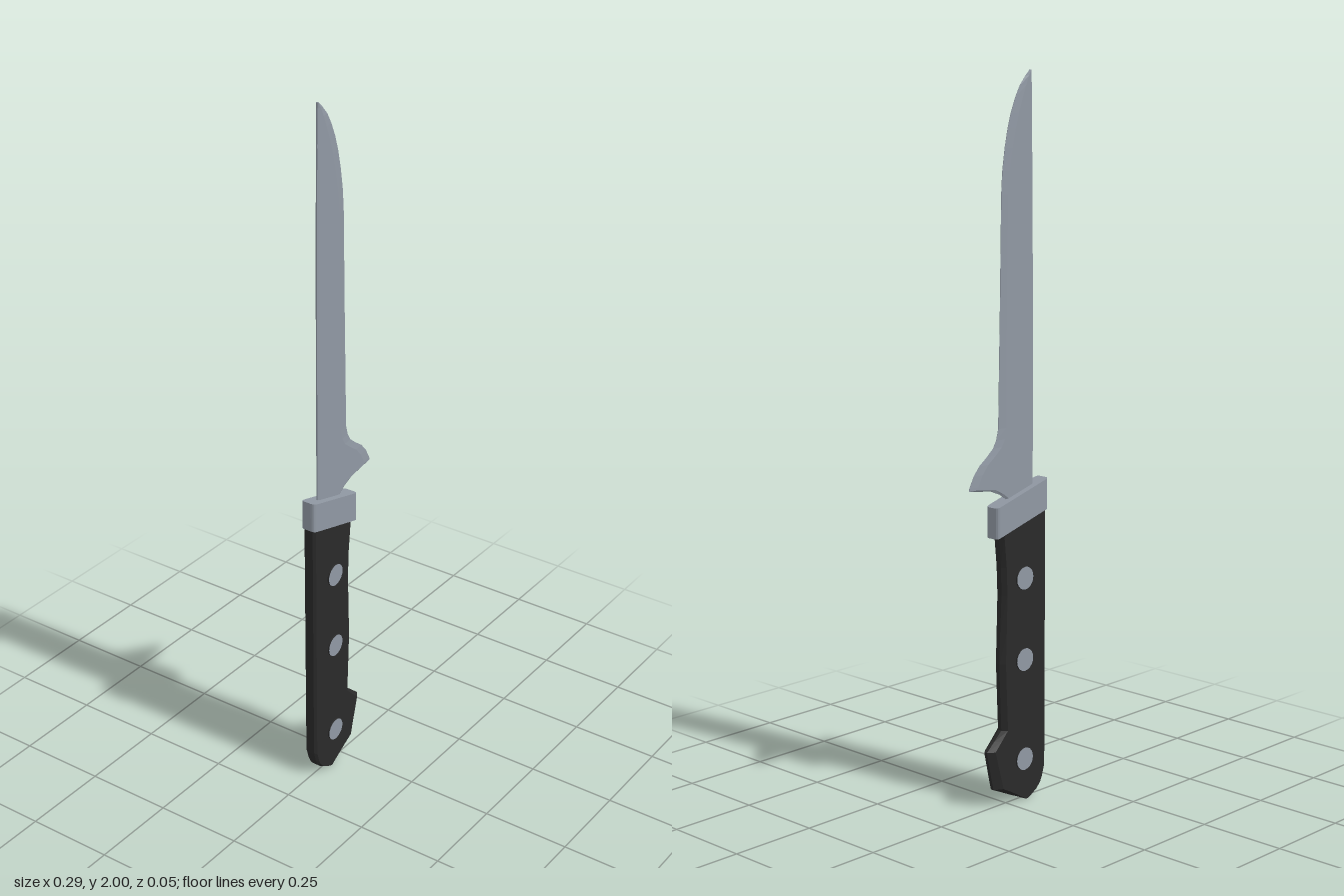
import * as THREE from 'three';

const steel = new THREE.MeshStandardMaterial({ color: 0x9098a3, flatShading: true });
steel.name = 'steel grey';
const black = new THREE.MeshStandardMaterial({ color: 0x2a2a2a, flatShading: true });
black.name = 'handle black';

// Joins rings of points, listed from bottom to top, into a closed solid
function loft(rings) {
  const pos = [];
  const tri = (a, b, c) => pos.push(...a, ...b, ...c);
  const n = rings[0].length;
  for (let i = 0; i < rings.length - 1; i++) {
    for (let j = 0; j < n; j++) {
      const k = (j + 1) % n;
      const [lo, hi] = [rings[i], rings[i + 1]];
      tri(lo[j], lo[k], hi[k]);
      tri(lo[j], hi[k], hi[j]);
    }
  }
  const top = rings[rings.length - 1], bottom = rings[0];
  for (let j = 1; j < n - 1; j++) {
    tri(top[0], top[j], top[j + 1]);
    tri(bottom[0], bottom[j + 1], bottom[j]);
  }
  const geo = new THREE.BufferGeometry();
  geo.setAttribute('position', new THREE.Float32BufferAttribute(pos, 3));
  geo.computeVertexNormals();
  return geo;
}

// Flat-sided section: bevelled back edge on the left, thin edge on the right
function section(y, xl, xr, bevelL, bevelR, half, halfL, halfR) {
  const front = [[xl, halfL], [xl + bevelL, half], [xr - bevelR, half], [xr, halfR]];
  const back = front.map(([x, z]) => [x, -z]).reverse();
  return [...front, ...back].map(([x, z]) => [x, y, z]);
}

function add(group, name, geo, material) {
  const mesh = new THREE.Mesh(geo, material);
  mesh.name = name;
  group.add(mesh);
  return mesh;
}

export function createModel() {
  const model = new THREE.Group();
  model.name = 'boningKnife';

  // Blade: y, spine x, edge x, width of the ground bevel
  const blade = [
    [0.84, -0.105, -0.01, 0.01], [0.865, -0.105, 0, 0.01],
    [0.88, -0.105, 0.022, 0.012], [0.895, -0.105, 0.058, 0.02],
    [0.907, -0.105, 0.14, 0.03], [0.915, -0.105, 0.138, 0.03],
    [0.945, -0.105, 0.122, 0.03], [0.97, -0.105, 0.1, 0.03],
    [0.99, -0.105, 0.072, 0.03], [1.01, -0.105, 0.048, 0.03],
    [1.03, -0.105, 0.036, 0.03], [1.06, -0.105, 0.028, 0.027],
    [1.39, -0.104, 0.021, 0.022], [1.68, -0.102, 0.016, 0.022],
    [1.74, -0.101, 0.012, 0.024], [1.8, -0.1, 0.003, 0.026],
    [1.85, -0.099, -0.008, 0.027], [1.89, -0.099, -0.02, 0.027],
    [1.93, -0.098, -0.037, 0.025], [1.96, -0.098, -0.054, 0.02],
    [1.985, -0.097, -0.076, 0.01], [2, -0.097, -0.092, 0.002],
  ];
  add(model, 'blade', loft(blade.map(([y, xl, xr, b]) =>
    section(y, xl, xr, Math.min(0.007, (xr - xl) * 0.3), b, 0.004, 0.002, 0.0006))), steel);

  // Handle: y, back x, belly x, width of the belly bevel
  const handle = [
    [0.005, -0.072, -0.06, 0.003], [0.012, -0.09, -0.046, 0.006],
    [0.025, -0.112, -0.016, 0.014], [0.04, -0.126, 0.016, 0.02],
    [0.057, -0.134, 0.053, 0.025], [0.085, -0.142, 0.06, 0.025],
    [0.13, -0.143, 0.07, 0.022], [0.17, -0.143, 0.079, 0.02],
    [0.195, -0.143, 0.05, 0.016], [0.22, -0.143, 0.022, 0.012],
    [0.31, -0.143, 0.026, 0.012], [0.41, -0.143, 0.03, 0.012],
    [0.5, -0.143, 0.026, 0.011], [0.6, -0.143, 0.021, 0.009],
    [0.68, -0.143, 0.023, 0.008], [0.77, -0.143, 0.03, 0.006],
    [0.83, -0.143, 0.032, 0.006],
  ];
  add(model, 'handle', loft(handle.map(([y, xl, xr, b]) =>
    section(y, xl, xr, Math.min(0.006, (xr - xl) * 0.25), b, 0.019, 0.012, 0.005))), black);

  // Bolster: rounded bar sheared to slope down towards the edge side
  const [l, r, h, c] = [-0.148, 0.053, 0.022, 0.012];
  const plan = new THREE.Shape();
  plan.moveTo(l + c, -h);
  plan.lineTo(r - c, -h);
  plan.quadraticCurveTo(r, -h, r, -h + c);
  plan.lineTo(r, h - c);
  plan.quadraticCurveTo(r, h, r - c, h);
  plan.lineTo(l + c, h);
  plan.quadraticCurveTo(l, h, l, h - c);
  plan.lineTo(l, -h + c);
  plan.quadraticCurveTo(l, -h, l + c, -h);
  const bolster = new THREE.ExtrudeGeometry(plan, { depth: 0.085, bevelEnabled: false, curveSegments: 4 });
  bolster.rotateX(-Math.PI / 2);
  const p = bolster.attributes.position;
  for (let i = 0; i < p.count; i++) p.setY(i, p.getY(i) + 0.779 - 0.274 * p.getX(i));
  bolster.computeVertexNormals();
  add(model, 'bolster', bolster, steel);

  // Rivets: dark sides with steel faces
  for (const y of [0.125, 0.41, 0.64]) {
    const geo = new THREE.CylinderGeometry(0.032, 0.032, 0.048, 20).rotateX(Math.PI / 2);
    add(model, 'rivet', geo, [black, steel, steel]).position.set(-0.053, y, 0);
  }
  return model;
}
